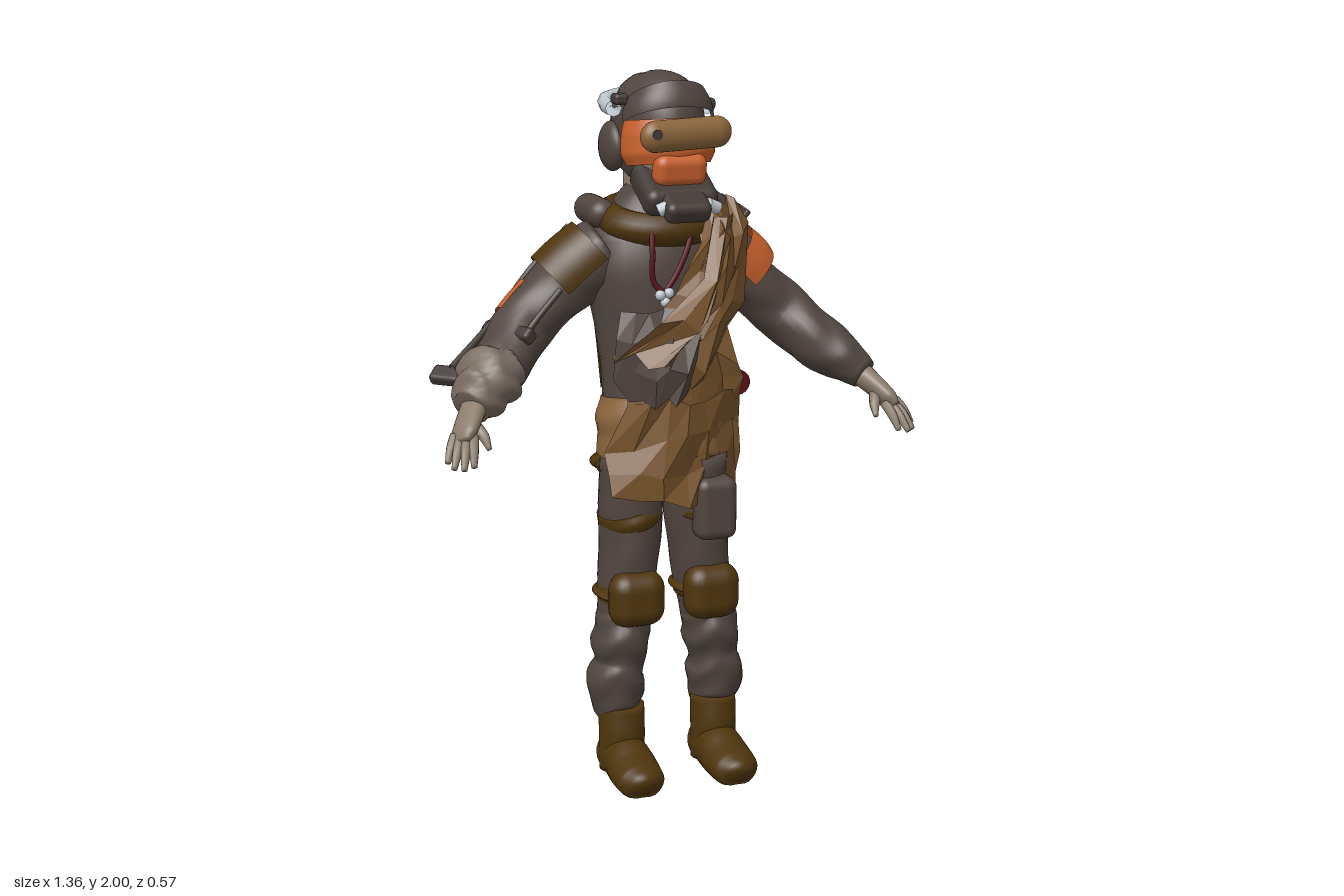
import * as THREE from 'three';
import { RoundedBoxGeometry } from 'three/addons/geometries/RoundedBoxGeometry.js';

const V = (a) => new THREE.Vector3(...a);
const PI = Math.PI;

export function createModel() {
  const root = new THREE.Group();
  const paint = (name, color) => {
    const m = new THREE.MeshStandardMaterial({ color, side: THREE.DoubleSide });
    m.name = name;
    return m;
  };
  const suit = paint('suit', 0x51453f), cuffCol = paint('cuffCloth', 0x776a5f);
  const olive = paint('olive', 0x4e350c), tan = paint('tanCloth', 0x77532b);
  const orange = paint('orange', 0xc8602c), glove = paint('glove', 0x8d7e6d);
  const silver = paint('silver', 0xc0c9d0), red = paint('darkRed', 0x581018);
  const wrap = paint('sandWrap', 0x8a643a), dark = paint('darkGear', 0x433a36);

  function add(name, geo, mat, pos = [0, 0, 0], rot = [0, 0, 0], scale = [1, 1, 1]) {
    const m = new THREE.Mesh(geo, mat);
    m.name = name;
    m.position.set(...pos);
    m.rotation.set(...rot);
    m.scale.set(...scale);
    root.add(m);
  }
  const box = (w, h, d, r) => new RoundedBoxGeometry(w, h, d, 3, r);
  const tube = (pts, r, n = 24) => new THREE.TubeGeometry(new THREE.CatmullRomCurve3(pts.map(V)), n, r, 8);

  // Smooth skin through elliptical rings [x, y, z, radiusU, radiusV]; an arc leaves it open.
  function loft(rings, { arc = null, ref = [0, 0, 1], wrinkle = 0, folds = 14, sides = 28, floor = -9 } = {}) {
    const path = new THREE.CatmullRomCurve3(rings.map((r) => V(r.slice(0, 3))));
    const size = new THREE.CatmullRomCurve3(rings.map((r) => V([r[3], r[4], 0])));
    const steps = (rings.length - 1) * 6, pos = [], idx = [], R = V(ref);
    const [a0, a1] = arc || [0, 2 * PI], cols = arc ? sides + 1 : sides;
    for (let i = 0; i <= steps; i++) {
      const t = i / steps, c = path.getPoint(t), s = size.getPoint(t), d = path.getTangent(t);
      const u = d.clone().cross(R).normalize(), v = u.clone().cross(d);
      for (let j = 0; j < cols; j++) {
        const a = a0 + (a1 - a0) * j / sides;
        const k = 1 + wrinkle * Math.sin(t * folds + 1.6 * Math.sin(2 * a + 1) + Math.sin(3 * a));
        const p = c.clone().addScaledVector(u, Math.cos(a) * s.x * k).addScaledVector(v, Math.sin(a) * s.y * k);
        pos.push(p.x, Math.max(p.y, floor), p.z);
      }
    }
    for (let i = 0; i < steps; i++) for (let j = 0; j < sides; j++) {
      const a = i * cols + j, b = i * cols + (j + 1) % cols, c = a + cols, e = b + cols;
      idx.push(a, c, b, b, c, e);
    }
    if (!arc) for (const [end, t] of [[0, 0], [steps, 1]]) {
      const c = path.getPoint(t), n = pos.length / 3;
      pos.push(c.x, Math.max(c.y, floor), c.z);
      for (let j = 0; j < sides; j++) {
        const a = end * cols + j, b = end * cols + (j + 1) % cols;
        idx.push(...(end ? [n, b, a] : [n, a, b]));
      }
    }
    const g = new THREE.BufferGeometry();
    g.setAttribute('position', new THREE.Float32BufferAttribute(pos, 3));
    g.setIndex(idx);
    g.computeVertexNormals();
    return g;
  }

  // Faceted ragged cloth between two edges; rows are [xl, yl, zl, xr, yr, zr, bulge].
  let seed = 7;
  const rnd = () => ((seed = (seed * 16807) % 2147483647) / 2147483647) - 0.5;
  function drape(rows, cols, jitter) {
    const pos = [], idx = [];
    for (const r of rows) for (let j = 0; j <= cols; j++) {
      const s = j / cols, p = V(r).lerp(new THREE.Vector3(r[3], r[4], r[5]), s);
      pos.push(p.x + rnd() * jitter * 0.6, p.y + rnd() * jitter, p.z + r[6] * Math.sin(PI * s) + rnd() * jitter);
    }
    for (let i = 0; i < rows.length - 1; i++) for (let j = 0; j < cols; j++) {
      const a = i * (cols + 1) + j, c = a + cols + 1;
      idx.push(a, c, a + 1, a + 1, c, c + 1);
    }
    const g = new THREE.BufferGeometry();
    g.setAttribute('position', new THREE.Float32BufferAttribute(pos, 3));
    g.setIndex(idx);
    const flat = g.toNonIndexed();
    flat.computeVertexNormals();
    return flat;
  }

  // Torso, back vest, collar
  add('jacket', loft([[0, .88, .01, .165, .13], [0, 1, 0, .17, .14], [0, 1.15, -.02, .165, .13], [0, 1.3, -.04, .175, .145],
    [0, 1.45, -.055, .2, .155], [0, 1.55, -.065, .19, .14], [0, 1.62, -.06, .13, .11], [0, 1.68, -.05, .08, .08]], { wrinkle: .012 }), suit);
  add('backVest', loft([[0, 1.11, -.04, .165, .118], [0, 1.3, -.05, .178, .15], [0, 1.46, -.06, .2, .166],
    [0, 1.56, -.065, .19, .158], [0, 1.635, -.06, .15, .13]], { arc: [1.15 * PI, 1.85 * PI] }), olive);
  add('vestStrap', tube([[.14, 1.57, -.18], [.155, 1.615, -.12], [.16, 1.63, -.05], [.15, 1.59, .04]], .024), olive);
  add('collar', new THREE.TorusGeometry(.122, .04, 12, 36), olive, [.012, 1.593, -.045], [PI / 2 + .16, 0, 0], [1.13, 1, 1.15]);
  add('neck', new THREE.CylinderGeometry(.085, .085, .18, 20), glove, [.012, 1.69, -.095]);

  // Hip wrap with a worn patch, belt round the back
  add('hipWrap', loft([[0, .92, .005, .178, .145], [0, .99, -.005, .185, .15], [0, 1.04, -.008, .182, .147], [0, 1.1, -.015, .172, .137]],
    { wrinkle: .025, folds: 10 }), wrap);
  add('wornPatch', loft([[0, 1.04, -.008, .187, .151], [0, 1.07, -.012, .182, .146], [0, 1.105, -.016, .176, .141]],
    { arc: [1.36 * PI, 1.56 * PI] }), suit);
  add('belt', loft([[0, .88, -.005, .178, .15], [0, .895, -.005, .186, .158], [0, .93, -.008, .186, .158], [0, .945, -.01, .178, .15]],
    { arc: [.95 * PI, 2.05 * PI] }), olive);

  for (const s of [-1, 1]) {
    const side = s > 0 ? 'left' : 'right';
    const at = (rings) => rings.map(([x, ...r]) => [s * x, ...r]);
    // Leg, gaiter, boot
    add(side + 'Leg', loft(at([[.135, .4, .04, .072, .085], [.115, .55, .03, .08, .095], [.1, .72, .02, .087, .11], [.092, .93, .015, .09, .125]]),
      { wrinkle: .02, folds: 18 }), suit);
    add(side + 'Gaiter', loft(at([[.14, .18, .035, .06, .058], [.148, .22, .035, .076, .08], [.15, .29, .04, .08, .09], [.142, .34, .04, .07, .082],
      [.137, .4, .042, .082, .095], [.13, .45, .04, .076, .09], [.122, .49, .035, .068, .08]]), { wrinkle: .05, folds: 22 }), suit);
    add(side + 'BootShaft', loft(at([[.14, .02, .062, .066, .062], [.14, .1, .062, .066, .064], [.14, .21, .058, .066, .064]])), olive);
    add(side + 'BootFoot', loft(at([[.14, .05, -.005, .04, .055], [.14, .055, .02, .064, .068], [.14, .055, .11, .068, .074],
      [.141, .046, .18, .072, .06], [.142, .04, .24, .068, .052], [.143, .036, .27, .045, .042], [.143, .03, .281, .015, .015]]), { ref: [0, 1, 0], floor: 0 }), olive);
    // Knee pad and straps
    add(side + 'KneePad', box(.162, .16, .105, .052), olive, [s * .112, .54, .113]);
    add(side + 'KneeStrap', loft(at([[.115, .515, .03, .08, .095], [.115, .53, .03, .084, .1], [.115, .55, .03, .084, .1], [.115, .565, .03, .08, .095]])), olive);
    add(side + 'ThighStrap', loft(at([[.092, .742, .02, .088, .11], [.1, .765, .02, .092, .117], [.108, .788, .02, .088, .11]])), olive);
    // Sleeve
    add(side + 'Sleeve', loft(at([[.14, 1.5, -.07, .1, .105], [.21, 1.46, -.075, .1, .103], [.29, 1.39, -.075, .086, .095], [.385, 1.305, -.055, .083, .089],
      [.465, 1.225, .015, .08, .09], [.53, 1.175, .07, .066, .077], [.575, 1.135, .115, .042, .05]]), { wrinkle: .035, folds: 26 }), suit);
    // Gloved hand
    add(side + 'Palm', loft(at([[.56, 1.145, .1, .036, .04], [.592, 1.11, .145, .03, .048], [.62, 1.075, .185, .026, .052], [.633, 1.055, .205, .014, .037]])), glove);
    [[.675, 1.01, .222], [.665, 1.0, .252], [.643, 1.0, .272], [.615, 1.005, .268]].forEach((tip, i) => {
      const base = [.642 - i * .014, 1.07, .176 + i * .01];
      const mid = base.map((b, k) => b * .45 + tip[k] * .55 + (k === 1 ? .006 : 0));
      add(side + 'Finger', loft(at([[...base, .016, .016], [...mid, .014, .014], [...tip, .008, .008]]), { sides: 8 }), glove);
    });
    add(side + 'Thumb', loft(at([[.59, 1.1, .16, .018, .018], [.57, 1.07, .2, .015, .015], [.562, 1.04, .228, .007, .007]]), { sides: 8 }), glove);
    // Ear cup
    add(side + 'EarCup', new THREE.SphereGeometry(.07, 24, 16), suit, [.015 + s * .122, 1.79, -.1], [0, 0, 0], [.5, 1, 1]);
    // Breathing filter
    add(side + 'Filter', new THREE.CylinderGeometry(.018, .018, .035, 14), silver, [.02 + s * .07, 1.65, .17], [.5, 0, s * 1.1]);
  }

  // Shoulder armour
  add('leftShoulderBand', loft([[.215, 1.475, -.068, .106, .112], [.255, 1.44, -.07, .107, .111], [.285, 1.41, -.07, .1, .106]],
    { arc: [.44 * PI, 1.56 * PI] }), orange);
  add('rightShoulderPad', loft([[-.165, 1.505, -.06, .108, .11], [-.225, 1.455, -.065, .113, .112], [-.275, 1.41, -.068, .113, .108]],
    { arc: [-.5 * PI, .5 * PI] }), olive);
  add('shoulderRoll', new THREE.CapsuleGeometry(.042, .11, 8, 18), suit, [-.155, 1.61, -.11], [PI / 2, 0, 0]);
  for (let i = 0; i < 3; i++)
    add('shoulderFlap', box(.016, .11, .16 - i * .02, .006), dark, [.175 + i * .025, 1.6 - i * .015, -.07 + i * .01], [.1, 0, -.5 - i * .1]);

  // Right arm brace and cuff
  add('armPatch', loft([[-.315, 1.37, -.072, .09, .099], [-.355, 1.333, -.063, .091, .099], [-.39, 1.3, -.052, .09, .098]],
    { arc: [-.65 * PI, .04 * PI] }), orange);
  add('rightCuff', loft([[-.475, 1.22, .02, .07, .075], [-.505, 1.2, .05, .09, .097], [-.55, 1.16, .09, .077, .082], [-.585, 1.13, .12, .052, .055]],
    { wrinkle: .08, folds: 18 }), cuffCol);
  [[0, 0], [.035, .02]].forEach(([dy, dz]) => add('braceRod', tube([[-.22, 1.53 + dy, -.17 + dz], [-.34, 1.41 + dy, -.16 + dz],
    [-.47, 1.29 + dy, -.08 + dz], [-.61, 1.19 + dy, .01 + dz]], .01), dark));
  add('frontRod', tube([[-.3, 1.42, .03], [-.4, 1.31, .045], [-.47, 1.22, .1]], .009), dark);
  add('braceClamp', box(.04, .04, .18, .012), dark, [-.44, 1.305, 0], [0, .5, .7]);
  add('wristDevice', box(.055, .035, .09, .012), dark, [-.62, 1.2, .015], [0, .8, .6]);

  // Draped front scarf and skirt
  add('scarf', drape([[.09, 1.63, .06, .2, 1.65, .01, .03], [.07, 1.56, .11, .24, 1.57, .03, .06], [.03, 1.47, .14, .24, 1.48, .05, .06],
    [0, 1.39, .15, .21, 1.38, .06, .06], [-.09, 1.31, .15, .2, 1.3, .06, .06], [-.16, 1.23, .11, .19, 1.2, .06, .08],
    [-.13, 1.14, .11, .21, 1.13, .05, .07], [-.15, 1.06, .11, .22, 1.06, .03, .07]], 6, .05), tan);
  add('scarfFold', drape([[.1, 1.6, .12, .19, 1.62, .06, .04], [.06, 1.45, .18, .16, 1.47, .12, .04], [-.06, 1.33, .19, .1, 1.34, .16, .04],
    [-.17, 1.24, .14, -.02, 1.22, .18, .03]], 4, .045), tan);
  add('frontSkirt', drape([[-.13, 1.1, .12, .21, 1.12, .05, .07], [-.19, .98, .1, .23, 1.02, .01, .1],
    [-.195, .9, .1, .23, .9, 0, .11], [-.18, .83, .12, .21, .8, .02, .1]], 6, .04), tan);
  add('darkCloth', drape([[-.15, 1.37, .08, .02, 1.39, .14, .04], [-.17, 1.28, .09, .05, 1.31, .18, .05], [-.17, 1.18, .1, .04, 1.22, .19, .05],
    [-.14, 1.1, .11, .01, 1.12, .18, .05]], 5, .035), suit);
  add('sideSpike', drape([[.2, 1.03, .1, .2, 1.02, -.05, 0], [.21, .93, .08, .21, .92, -.02, 0], [.225, .84, 0, .225, .83, -.05, 0],
    [.22, .79, -.07, .225, .79, -.08, 0]], 3, .015), tan);

  // Necklace
  add('cordRight', tube([[-.055, 1.6, .085], [-.062, 1.52, .11], [-.06, 1.44, .115], [-.035, 1.41, .122]], .008), red);
  add('cordLeft', tube([[.065, 1.6, .085], [.04, 1.53, .11], [.005, 1.46, .118], [-.03, 1.41, .122]], .008), red);
  for (const [x, y] of [[-.045, 1.405], [-.02, 1.41], [-.03, 1.385]])
    add('pendant', new THREE.SphereGeometry(.015, 12, 8), silver, [x, y, .125]);

  // Pouches
  add('hipPouch', new THREE.CapsuleGeometry(.046, .08, 8, 18), suit, [.2, 1.125, -.05], [PI / 2, 0, 0]);
  add('pouchCap', new THREE.CylinderGeometry(.036, .036, .04, 18), red, [.215, 1.125, .03], [PI / 2, 0, 0]);
  add('thighPouch', box(.12, .18, .1, .03), suit, [.115, .79, .12]);

  // Helmet
  add('head', new THREE.SphereGeometry(.1, 24, 16), glove, [.015, 1.78, -.01], [0, 0, 0], [1, 1.1, 1.1]);
  add('helmet', loft([[.015, 1.725, -.12, .08, .1], [.015, 1.745, -.11, .108, .145], [.015, 1.8, -.09, .122, .18], [.015, 1.87, -.062, .122, .182],
    [.015, 1.935, -.05, .106, .156], [.015, 1.978, -.045, .068, .108], [.015, 1.995, -.045, .03, .05], [.015, 2, -.045, .004, .006]], { sides: 36 }), suit);
  add('helmetRim', new THREE.TorusGeometry(.11, .032, 10, 32, PI), suit, [.015, 1.775, -.105], [-PI / 2, 0, 0], [1, 1.2, 1.3]);
  add('helmetBrow', loft([[.015, 1.868, .02, .128, .112], [.015, 1.89, .01, .127, .118], [.015, 1.925, -.01, .112, .118]],
    { arc: [-.02 * PI, 1.02 * PI] }), suit);
  add('helmetBand', tube([[-.125, 1.9, -.03], [-.122, 1.903, -.09], [-.1, 1.91, -.17], [-.04, 1.914, -.233], [.03, 1.916, -.248],
    [.1, 1.913, -.2], [.14, 1.905, -.1], [.142, 1.9, -.01]], .023, 48), silver);
  add('helmetMount', box(.04, .03, .05, .01), dark, [-.115, 1.928, -.01]);
  add('helmetMount', box(.03, .03, .05, .01), dark, [.135, 1.91, .01]);

  // Visor, goggle bar, mask
  add('visor', loft([[.012, 1.75, .03, .118, .1], [.012, 1.785, .025, .132, .113], [.012, 1.83, .02, .13, .113], [.012, 1.872, .015, .12, .104]],
    { arc: [-.04 * PI, 1.04 * PI] }), orange);
  add('visorNose', box(.15, .09, .07, .03), orange, [.015, 1.745, .11], [.15, 0, 0]);
  add('goggleBar', new THREE.CapsuleGeometry(.043, .18, 8, 20), wrap, [.018, 1.845, .155], [0, .08, PI / 2 + .03], [1, 1, .75]);
  add('goggleLens', new THREE.CylinderGeometry(.014, .014, .01, 16), dark, [-.075, 1.85, .19], [PI / 2, 0, 0]);
  add('mask', box(.21, .08, .18, .03), dark, [.012, 1.69, .075], [.48, 0, 0]);
  add('maskSnout', box(.13, .06, .11, .022), dark, [.012, 1.655, .16], [.48, 0, 0]);
  return root;
}
